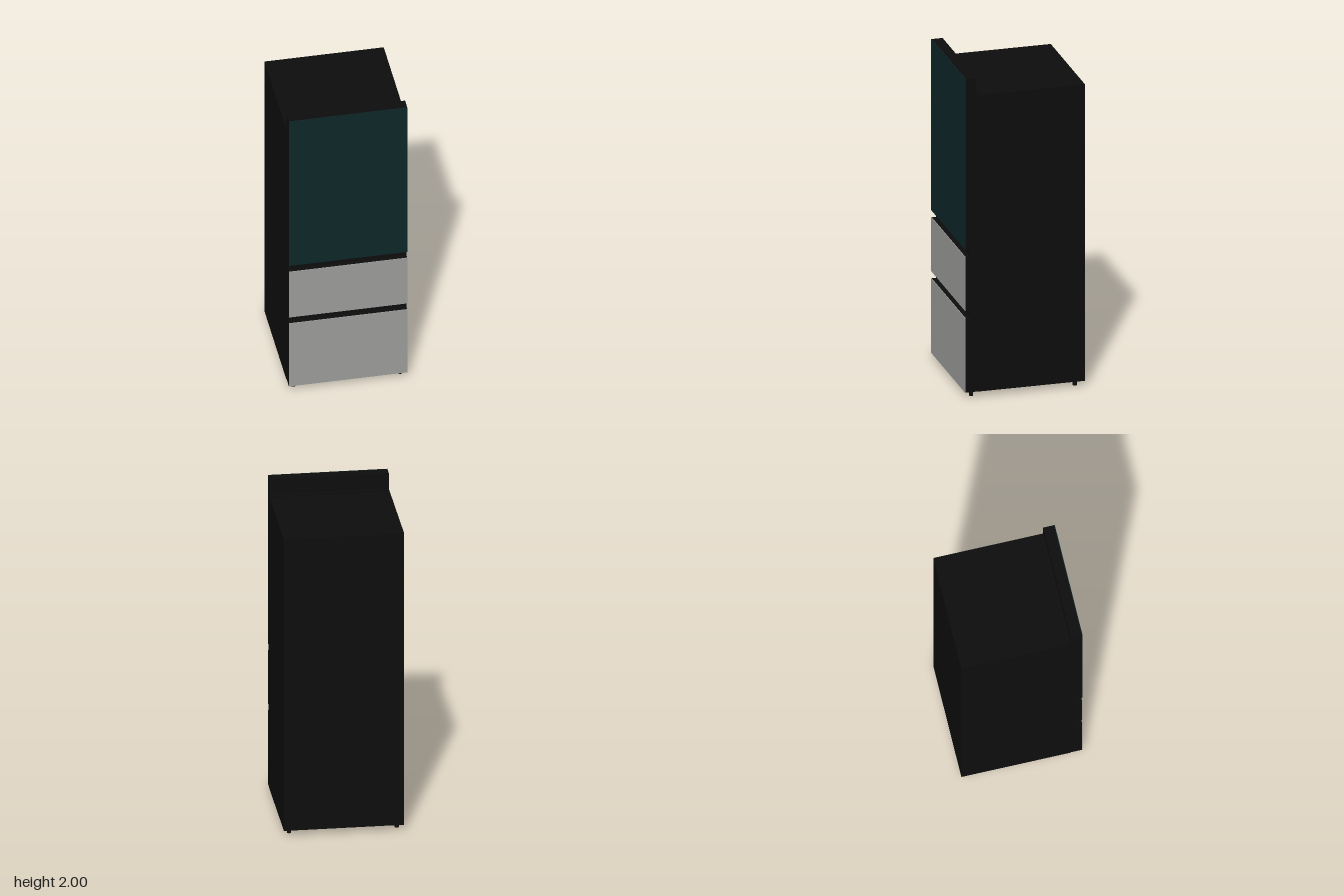
import * as THREE from 'three';

export function createModel() {
  const root = new THREE.Group();
  root.name = 'refrigerator';

  const mat = (name, color) => {
    const m = new THREE.MeshStandardMaterial({ color });
    m.name = name;
    return m;
  };
  const black = mat('black casing', 0x0d0d0d);
  const teal = mat('dark teal panel', 0x0d2627);
  const grey = mat('grey panel', 0x9c9d9b);

  // box given by its limits on each axis
  const box = (name, material, [x0, x1], [y0, y1], [z0, z1], parent = root) => {
    const mesh = new THREE.Mesh(new THREE.BoxGeometry(x1 - x0, y1 - y0, z1 - z0), material);
    mesh.position.set((x0 + x1) / 2, (y0 + y1) / 2, (z0 + z1) / 2);
    mesh.name = name;
    parent.add(mesh);
  };

  const base = 0.033, backZ = -0.367, doorZ = 0.297, gripZ = 0.337, frontZ = 0.367;
  const panel = 0.004;
  const wide = [-0.355, 0.355];

  // cabinet and the hinge cover strip behind the door
  box('cabinet', black, [-0.357, 0.357], [base, 1.893], [backZ, doorZ]);
  box('hingeCover', black, [-0.343, 0.343], [1.893, 1.905], [0.274, doorZ]);

  // fronts: a black slab with a thin coloured panel
  const fronts = [
    ['lowerDrawer', base, 0.5, grey],
    ['upperDrawer', 0.883, 0.545, grey],
    ['upperDoor', 0.928, 2, teal],
  ];
  for (const [name, a, b, material] of fronts) {
    const group = new THREE.Group();
    group.name = name;
    const y = [Math.min(a, b), Math.max(a, b)];
    box(name + 'Slab', black, wide, y, [doorZ, frontZ - panel], group);
    box(name + 'Panel', material, wide, y, [frontZ - panel, frontZ], group);
    root.add(group);
  }

  // recessed grip channels between the fronts
  box('lowerGrip', black, wide, [0.5, 0.545], [doorZ, gripZ]);
  box('upperGrip', black, wide, [0.883, 0.928], [doorZ, gripZ]);
  // small catch under the door
  box('doorCatch', black, [0.27, 0.335], [0.921, 0.928], [gripZ, 0.352]);

  // feet
  const footGeometry = new THREE.CylinderGeometry(0.013, 0.013, base + 0.002, 16);
  for (const x of [-0.32, 0.32]) {
    for (const z of [-0.315, 0.32]) {
      const foot = new THREE.Mesh(footGeometry, black);
      foot.name = 'foot';
      foot.position.set(x, (base + 0.002) / 2, z);
      root.add(foot);
    }
  }
  return root;
}
